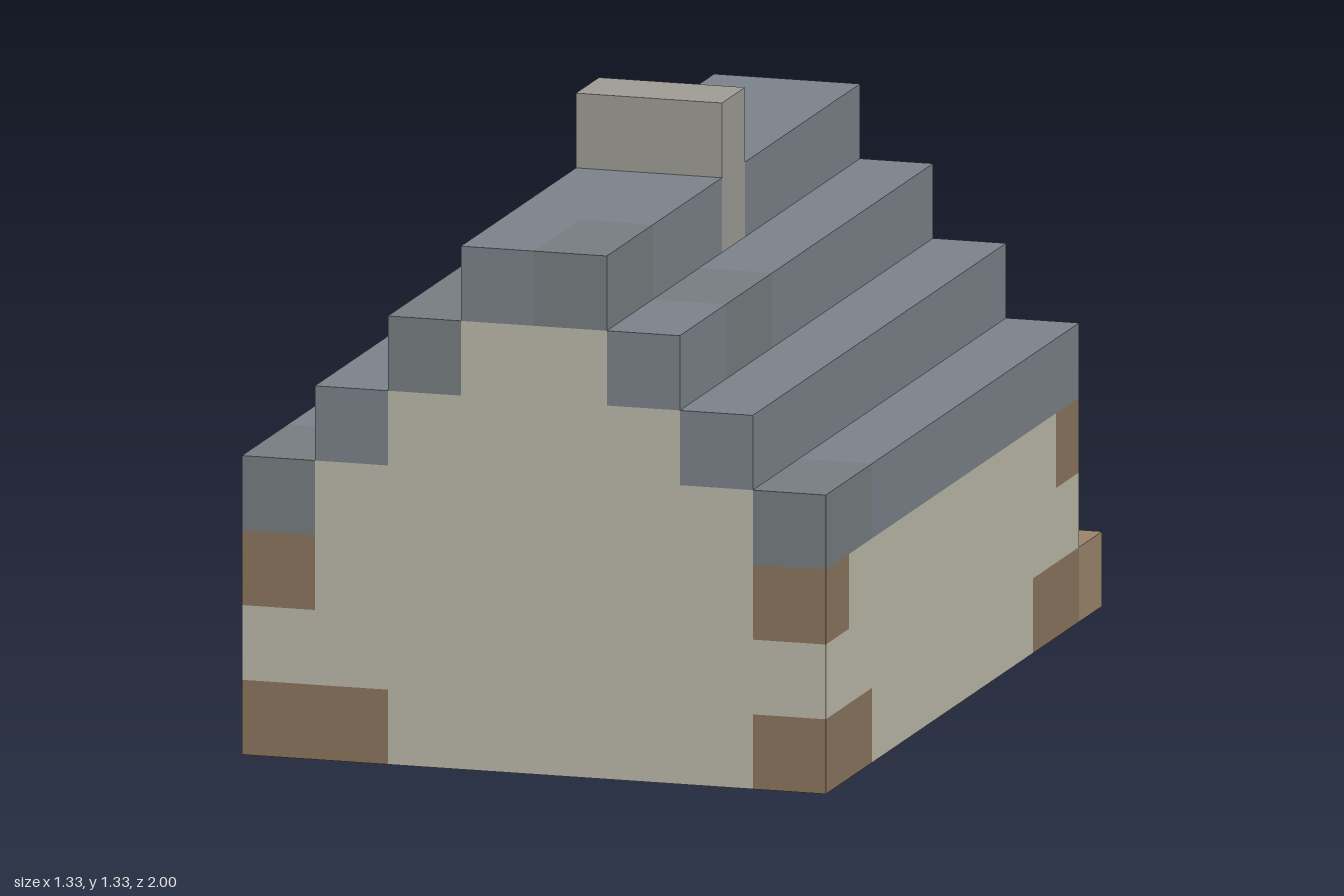
import * as THREE from 'three';
import { mergeGeometries } from 'three/addons/utils/BufferGeometryUtils.js';

const U = 1 / 6;                       // block size
const NX = 8, NY = 8, NZ = 12;         // blocks across, up and deep
const HALF = [4, 4, 4, 4, 3, 2, 1, 0]; // half width of the stepped house per layer

const COLORS = {
  wall: 0xbdb9aa, timber: 0x8d765f, slate: 0x7c838b, darkSlate: 0x777e81,
  chimney: 0x9f9d95, floor: 0x76604d, ledge: 0x9c866b, ledgeEnd: 0x9b7a5e,
  backBrick: 0xb08c72, backDoor: 0x80664f, yellowBlock: 0xa5985f,
};

// Repeatable scatter of the second roof shade, in runs of two blocks
function isDark(x, y, z) {
  const s = Math.sin(x * 12.9 + y * 78.2 + Math.floor(z / 2) * 37.7) * 43758.5;
  return s - Math.floor(s) < 0.2;
}

// Name of the part filling a block, or null where it is empty
function partAt(x, y, z) {
  if (x < 0 || y < 0 || z < 0 || x >= NX || y >= NY || z >= NZ) return null;
  const d = x < 4 ? 4 - x : x - 3;     // 1 at the middle, 4 at the side walls

  // Low ledge along the back
  if (z === 0) return y === 0 ? (x === 0 ? 'ledgeEnd' : 'ledge') : null;

  // Chimney shaft from the floor through the ridge
  if (d === 1 && z === 6 && y >= 1) return 'chimney';
  if (d > HALF[y]) return null;

  // Stepped roof
  if (y >= 3 && d === HALF[y]) return isDark(x, y, z) ? 'darkSlate' : 'slate';

  const gable = z === 1 || z === NZ - 1;
  if (gable || d === 4) {
    // Timber at the corners
    if (y === 0 && d === 4 && (z >= 10 || z <= 2)) return 'timber';
    if (y === 0 && z === NZ - 1 && x <= 1) return 'timber';
    if (y === 2 && d === 4 && gable) return 'timber';
    // Coloured row above the ledge
    if (y === 1 && z === 1) {
      if (x === 0) return 'yellowBlock';
      if (x === 4) return 'backDoor';
      if (x <= 5) return 'backBrick';
    }
    return 'wall';
  }
  return y === 0 ? 'floor' : null;
}

// Face directions with the turn that points a plane along each
const FACES = [
  { dir: [1, 0, 0], rx: 0, ry: Math.PI / 2 },
  { dir: [-1, 0, 0], rx: 0, ry: -Math.PI / 2 },
  { dir: [0, 1, 0], rx: -Math.PI / 2, ry: 0 },
  { dir: [0, -1, 0], rx: Math.PI / 2, ry: 0 },
  { dir: [0, 0, 1], rx: 0, ry: 0 },
  { dir: [0, 0, -1], rx: 0, ry: Math.PI },
];

function blockFace(x, y, z, { dir, rx, ry }) {
  return new THREE.PlaneGeometry(U, U).rotateX(rx).rotateY(ry).translate(
    (x + 0.5 - NX / 2 + dir[0] / 2) * U,
    (y + 0.5 + dir[1] / 2) * U,
    (z + 0.5 - NZ / 2 + dir[2] / 2) * U);
}

export function createModel() {
  const group = new THREE.Group();
  group.name = 'blockHouse';
  const faces = {};

  // Collect the exposed faces of each part; the underside stays open
  for (let x = 0; x < NX; x++) for (let y = 0; y < NY; y++) for (let z = 0; z < NZ; z++) {
    const part = partAt(x, y, z);
    if (!part) continue;
    for (const f of FACES) {
      const [dx, dy, dz] = f.dir;
      if (y + dy < 0 || partAt(x + dx, y + dy, z + dz)) continue;
      (faces[part] ??= []).push(blockFace(x, y, z, f));
    }
  }

  // One mesh per part
  for (const [part, list] of Object.entries(faces)) {
    const mesh = new THREE.Mesh(mergeGeometries(list),
      new THREE.MeshStandardMaterial({ color: COLORS[part], side: THREE.DoubleSide }));
    mesh.name = part;
    group.add(mesh);
  }
  return group;
}
